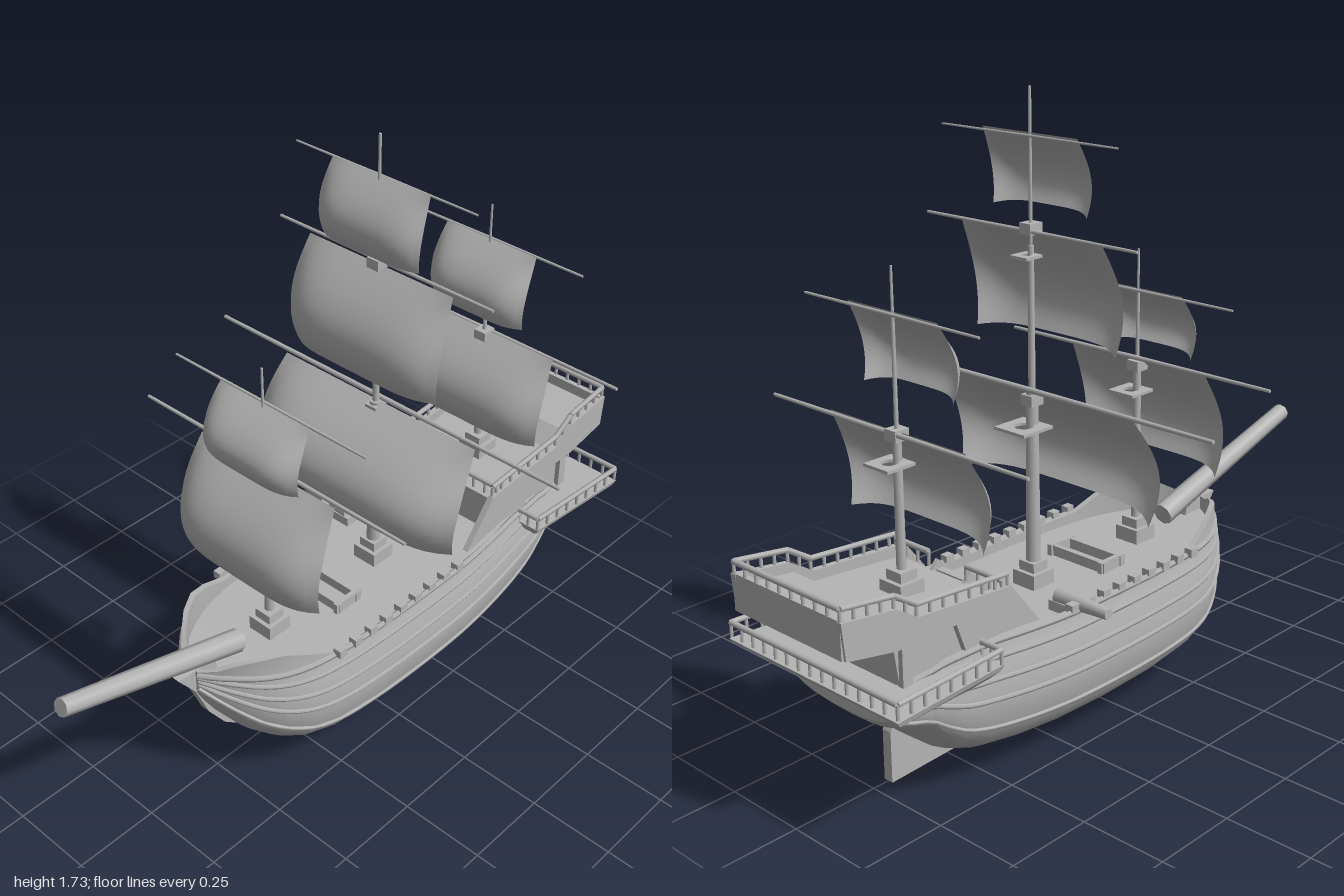
import * as THREE from 'three';
import { toCreasedNormals } from 'three/addons/utils/BufferGeometryUtils.js';

const grey = new THREE.MeshStandardMaterial({ color: 0xb4b4b4, side: THREE.DoubleSide });
grey.name = 'weathered grey';
const V = (x, y, z) => new THREE.Vector3(x, y, z);

function add(parent, name, geo) {
  const m = new THREE.Mesh(geo, grey);
  m.name = name;
  parent.add(m);
  return m;
}
function box(parent, name, w, h, d, x, y, z) {
  const m = add(parent, name, new THREE.BoxGeometry(w, h, d));
  m.position.set(x, y, z);
  return m;
}
// Round bar from a to b
function bar(parent, name, a, b, r0, r1 = r0, sides = 6) {
  const m = add(parent, name, new THREE.CylinderGeometry(r1, r0, a.distanceTo(b), sides));
  m.position.copy(a).lerp(b, 0.5);
  m.quaternion.setFromUnitVectors(V(0, 1, 0), b.clone().sub(a).normalize());
  return m;
}
// Plate drawn in the (z, y) plane, with thickness t centred on cx
function plate(parent, name, pts, t, cx = 0) {
  const shape = new THREE.Shape(pts.map(p => new THREE.Vector2(p[0], p[1])));
  const geo = new THREE.ExtrudeGeometry(shape, { depth: t, bevelEnabled: false });
  geo.rotateY(-Math.PI / 2).translate(cx + t / 2, 0, 0);
  return add(parent, name, geo);
}
// Skin over rings of equal length, with the end rings capped
function loft(rings, crease = 0.5) {
  const n = rings[0].length, pos = rings.flat().flatMap(p => [p.x, p.y, p.z]), idx = [];
  for (let i = 0; i < rings.length - 1; i++)
    for (let j = 0; j < n; j++) {
      const a = i * n + j, b = i * n + (j + 1) % n;
      idx.push(a, b, a + n, b, b + n, a + n);
    }
  for (let j = 1; j < n - 1; j++) {
    const e = (rings.length - 1) * n;
    idx.push(0, j + 1, j, e, e + j, e + j + 1);
  }
  const geo = new THREE.BufferGeometry();
  geo.setAttribute('position', new THREE.Float32BufferAttribute(pos, 3));
  geo.setIndex(idx);
  return toCreasedNormals(geo, crease);
}

// Hull stations: z, keel height, plank line, bulwark top, half width
const stations = [
  [0.57, 0.34, 0.41, 0.42, 0.025], [0.54, 0.285, 0.41, 0.43, 0.075], [0.51, 0.235, 0.41, 0.45, 0.115],
  [0.46, 0.165, 0.405, 0.465, 0.165], [0.4, 0.11, 0.4, 0.468, 0.205], [0.33, 0.068, 0.4, 0.44, 0.235],
  [0.25, 0.045, 0.4, 0.405, 0.252], [0.1, 0.033, 0.4, 0.4, 0.265], [-0.1, 0.03, 0.4, 0.4, 0.27],
  [-0.28, 0.035, 0.4, 0.4, 0.268], [-0.42, 0.045, 0.405, 0.41, 0.258], [-0.54, 0.063, 0.41, 0.41, 0.245],
  [-0.62, 0.095, 0.405, 0.405, 0.235], [-0.68, 0.145, 0.4, 0.4, 0.226], [-0.73, 0.2, 0.39, 0.39, 0.218],
  [-0.81, 0.24, 0.38, 0.38, 0.205], [-0.84, 0.27, 0.37, 0.37, 0.19],
];
// Point on the outer skin: s 0..1 runs keel to belly, 1..2 belly to plank line
function skin([z, keel, plank, , w], s) {
  const belly = keel + 0.55 * (plank - keel);
  if (s <= 1) {
    const a = s * Math.PI / 2;
    return V(w * Math.sin(a) ** 0.8, belly - (belly - keel) * Math.max(0, Math.cos(a)) ** 0.8, z);
  }
  const t = s - 1;
  return V(w * (1 - 0.1 * t * t), belly + (plank - belly) * t, z);
}
const mirror = p => V(-p.x, p.y, p.z);

function buildHull(ship) {
  const hull = new THREE.Group();
  hull.name = 'hull';
  ship.add(hull);
  const rings = stations.map(st => {
    const half = [];
    for (let i = 0; i <= 12; i++) half.push(skin(st, i / 6));
    const top = half[12].x, inner = Math.max(0.004, top - 0.018), deck = st[2] - 0.025;
    half.push(V(top, st[3] + 0.002, st[0]), V(inner, st[3] + 0.002, st[0]), V(inner, deck, st[0]));
    return [...half, ...half.slice(1).reverse().map(mirror)];
  });
  add(hull, 'planked hull and deck', loft(rings, 0.45));

  // Raised wales running along both sides
  for (const s of [0.8, 1.05, 1.4, 1.75, 2])
    for (const side of [1, -1]) {
      const pts = stations.map(st => skin(st, s)).map(p => V(p.x * side, p.y, p.z));
      add(hull, 'wale', new THREE.TubeGeometry(new THREE.CatmullRomCurve3(pts), 48, s === 2 ? 0.009 : 0.007, 5));
    }
  // Keel, stem and rudder
  plate(hull, 'keel and stem', [[0.63, 0.425], [0.575, 0.35], [0.53, 0.24], [0.475, 0.16], [0.38, 0.08],
    [0.26, 0.038], [0, 0.022], [-0.7, 0], [-0.7, 0.145], [-0.67, 0.2], [-0.58, 0.1], [0, 0.06],
    [0.3, 0.09], [0.45, 0.2], [0.5, 0.42]], 0.03);
  bar(hull, 'bowsprit', V(0, 0.41, 0.4), V(0, 0.588, 0.995), 0.034, 0.026, 8);
  // Timber heads along the bulwark
  for (const side of [1, -1])
    for (let i = 0; i < 9; i++)
      box(hull, 'timber head', 0.025, 0.025, 0.028, side * 0.237, 0.41, 0.24 - i * 0.062);
}

// Handrail on posts along a path
function railing(parent, pts, h, step = 0.045) {
  for (let i = 0; i < pts.length - 1; i++) {
    const [a, b] = [pts[i], pts[i + 1]], up = V(0, h, 0), n = Math.max(1, Math.round(a.distanceTo(b) / step));
    bar(parent, 'handrail', a.clone().add(up), b.clone().add(up), 0.008);
    for (let j = 0; j <= n; j++) {
      const p = a.clone().lerp(b, j / n);
      bar(parent, 'rail post', p, p.clone().add(up), 0.005);
    }
  }
}

function buildStern(ship) {
  const stern = new THREE.Group();
  stern.name = 'sterncastle';
  ship.add(stern);
  plate(stern, 'cabin and poop deck', [[-0.47, 0.37], [-0.47, 0.5], [-0.76, 0.525], [-0.82, 0.57], [-0.985, 0.59],
    [-0.98, 0.525], [-0.83, 0.495], [-0.81, 0.36]], 0.38);
  for (const side of [1, -1]) {
    plate(stern, 'side wall', [[-0.34, 0.39], [-0.45, 0.53], [-0.76, 0.553], [-0.83, 0.598], [-0.995, 0.62],
      [-0.985, 0.52], [-0.83, 0.49], [-0.64, 0.49], [-0.6, 0.38]], 0.018, side * 0.198);
    box(stern, 'cabin pilaster', 0.02, 0.12, 0.03, side * 0.195, 0.44, -0.8);
    railing(stern, [V(side * 0.198, 0.53, -0.455), V(side * 0.198, 0.553, -0.76),
      V(side * 0.198, 0.598, -0.83), V(side * 0.198, 0.62, -0.99)], 0.032);
    railing(stern, [V(side * 0.198, 0.51, -0.475), V(side * 0.07, 0.51, -0.475)], 0.04);
    box(stern, 'stair side', 0.012, 0.05, 0.17, side * 0.06, 0.45, -0.41).rotation.x = 0.75;
  }
  box(stern, 'stern board', 0.4, 0.1, 0.016, 0, 0.572, -0.985);
  railing(stern, [V(-0.198, 0.62, -0.99), V(0.198, 0.62, -0.99)], 0.032);
  for (let i = 0; i < 5; i++)
    box(stern, 'stair tread', 0.11, 0.025 * (i + 1), 0.025, 0, 0.375 + 0.0125 * (i + 1), -0.355 - i * 0.024);

  // Flared gallery round the stern: y, front half width, back half width, front z, back z
  const ring = ([y, wf, wb, zf, zb]) => [V(wf, y, zf), V(wb, y, zb), V(-wb, y, zb), V(-wf, y, zf)];
  add(stern, 'gallery', loft([[0.31, 0.225, 0.19, -0.64, -0.84], [0.345, 0.265, 0.26, -0.59, -0.88],
    [0.37, 0.29, 0.315, -0.57, -0.925], [0.385, 0.295, 0.32, -0.565, -0.935]].map(ring), 0.2));
  railing(stern, [V(0.22, 0.385, -0.57), V(0.29, 0.385, -0.57), V(0.315, 0.39, -0.93), V(-0.315, 0.39, -0.93),
    V(-0.29, 0.385, -0.57), V(-0.22, 0.385, -0.57)], 0.04);
}

// Billowing sail: half width, top and bottom height, mast z, belly depth
function sail(parent, w, top, bottom, z, depth) {
  const geo = new THREE.PlaneGeometry(2, 1, 24, 14), p = geo.attributes.position;
  for (let i = 0; i < p.count; i++) {
    const u = p.getX(i), v = 0.5 - p.getY(i), swell = Math.sin(v * 2.25);
    const x = u * w * (0.94 + 0.06 * Math.sin(v * Math.PI));
    const y = top + (bottom - top) * v + 0.012 * v * (1 - u ** 4);
    p.setXYZ(i, x, y, z + depth * swell * (1 - 0.5 * Math.abs(u) ** 5));
  }
  geo.computeVertexNormals();
  add(parent, 'sail', geo);
}

function buildMast(ship, { name, z, spars, sails, yards, lookouts }) {
  const mast = new THREE.Group();
  mast.name = name;
  ship.add(mast);
  let y = 0.37;
  for (const [top, r] of spars) {
    bar(mast, 'mast pole', V(0, y, z), V(0, top, z), r, r * 0.8, 10);
    y = top;
  }
  for (const [py, s] of lookouts) {
    // Square lookout platform, open round the mast, with a cap block above
    const shape = new THREE.Shape([[-1, -1], [1, -1], [1, 1], [-1, 1]].map(q => new THREE.Vector2(q[0] * s, q[1] * s)));
    shape.holes.push(new THREE.Path().absarc(0, 0, s * 0.5, 0, Math.PI * 2, true));
    const geo = new THREE.ExtrudeGeometry(shape, { depth: 0.008, bevelEnabled: false, curveSegments: 6 });
    add(mast, 'lookout platform', geo.rotateX(-Math.PI / 2)).position.set(0, py, z - 0.6 * s);
    box(mast, 'mast cap', 0.04, 0.03, 0.045, 0, py + 0.075, z);
  }
  for (const [yy, half, r] of yards)
    for (const side of [1, -1]) bar(mast, 'yard', V(0, yy, z - 0.015), V(side * half, yy, z - 0.015), r, r * 0.7);
  for (const [w, top, bottom, depth] of sails) sail(mast, w, top, bottom, z - 0.005, depth);
}

export function createModel() {
  const ship = new THREE.Group();
  ship.name = 'sailing ship';
  buildHull(ship);
  buildStern(ship);
  buildMast(ship, { name: 'foremast', z: 0.275, spars: [[0.92, 0.014], [1.12, 0.006], [1.24, 0.004]],
    sails: [[0.26, 0.925, 0.61, 0.15], [0.17, 1.13, 0.94, 0.11]],
    yards: [[0.93, 0.47, 0.007], [1.125, 0.34, 0.005]], lookouts: [[0.83, 0.045]] });
  buildMast(ship, { name: 'mainmast', z: -0.155, spars: [[0.93, 0.021], [1.32, 0.01], [1.725, 0.005]],
    sails: [[0.37, 0.93, 0.615, 0.19], [0.265, 1.355, 1.055, 0.13], [0.175, 1.61, 1.405, 0.09]],
    yards: [[0.935, 0.615, 0.008], [1.36, 0.37, 0.006], [1.603, 0.305, 0.004]],
    lookouts: [[0.83, 0.055], [1.29, 0.03]] });
  buildMast(ship, { name: 'mizzenmast', z: -0.63, spars: [[0.94, 0.014], [1.23, 0.006], [1.35, 0.004]],
    sails: [[0.26, 0.94, 0.665, 0.135], [0.17, 1.24, 1.025, 0.11]],
    yards: [[0.935, 0.46, 0.007], [1.235, 0.31, 0.005]], lookouts: [[0.855, 0.045]] });

  // Deck fittings
  for (const [y, z] of [[0.395, 0.275], [0.395, -0.155], [0.525, -0.63]]) {
    box(ship, 'mast step', 0.08, 0.045, 0.08, 0, y, z);
    box(ship, 'mast collar', 0.055, 0.03, 0.055, 0, y + 0.035, z);
  }
  for (const s of [1, -1]) {
    box(ship, 'hatch beam', 0.21, 0.03, 0.015, 0, 0.39, 0.06 + s * 0.035);
    box(ship, 'hatch side', 0.015, 0.035, 0.1, s * 0.095, 0.39, 0.06);
  }
  bar(ship, 'cannon barrel', V(-0.16, 0.412, -0.225), V(-0.335, 0.412, -0.225), 0.025, 0.015, 12);
  box(ship, 'cannon carriage', 0.09, 0.03, 0.05, -0.19, 0.388, -0.225);
  return ship;
}
